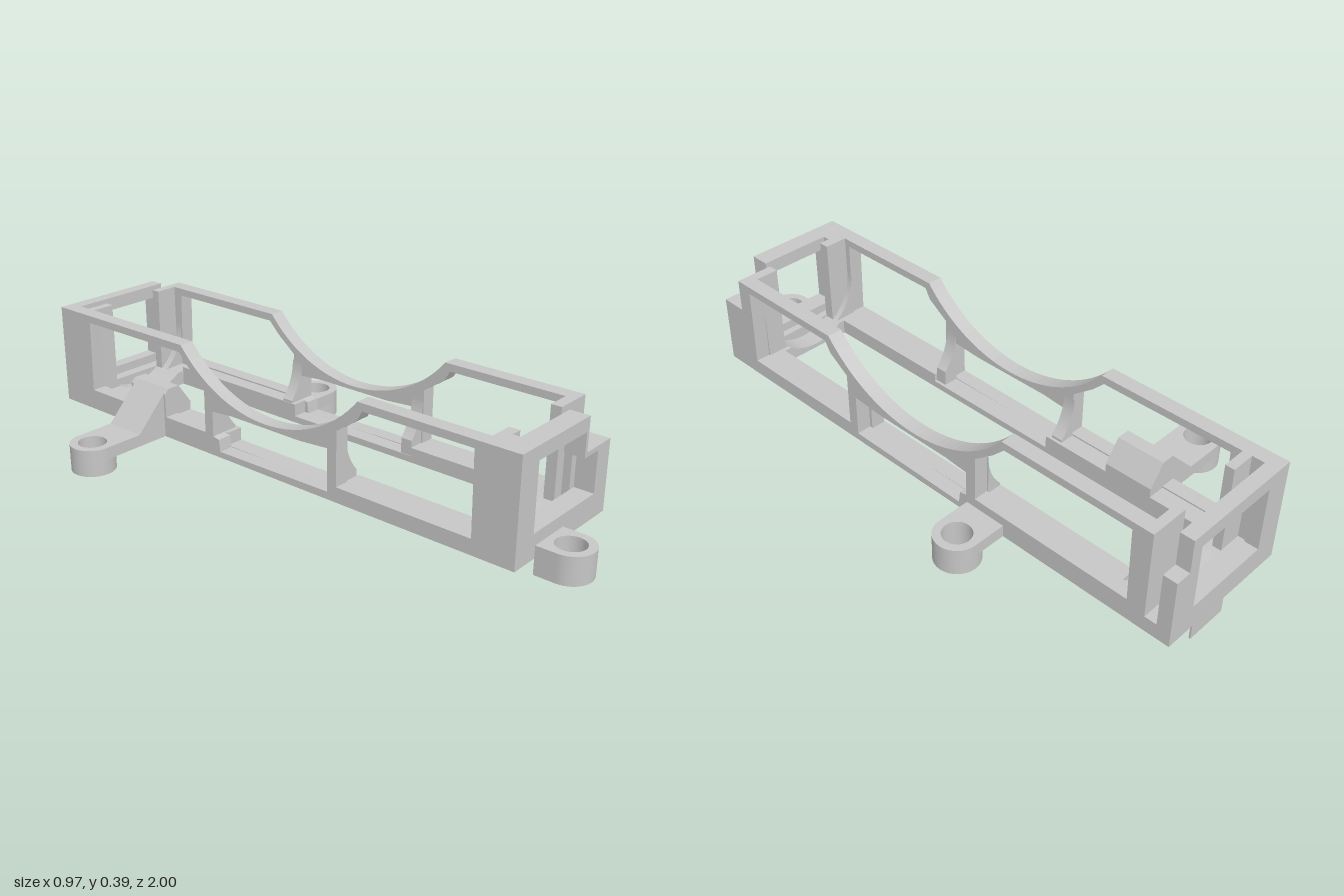
import * as THREE from 'three';

const grey = new THREE.MeshStandardMaterial({ color: 0xc6c6c6 });
grey.name = 'plain grey';

const points = (pts) => pts.map(([a, b]) => new THREE.Vector2(a, b));

function extrude(pts, holes, depth) {
  const outline = points(pts);
  // Counter-clockwise outline, so that hole walls also face the right way
  if (THREE.ShapeUtils.isClockWise(outline)) outline.reverse();
  const shape = new THREE.Shape(outline);
  for (const h of holes) shape.holes.push(new THREE.Path(points(h)));
  return new THREE.ExtrudeGeometry(shape, { depth, bevelEnabled: false });
}

export function createModel() {
  const model = new THREE.Group();
  model.name = 'cradleFrame';

  const add = (name, geo, parent = model) => {
    const mesh = new THREE.Mesh(geo, grey);
    mesh.name = name;
    parent.add(mesh);
  };
  const box = (name, x0, x1, y0, y1, z0, z1) => add(name,
    new THREE.BoxGeometry(x1 - x0, y1 - y0, z1 - z0)
      .translate((x0 + x1) / 2, (y0 + y1) / 2, (z0 + z1) / 2));
  // Profile given as [z, y], extruded along x
  const alongX = (name, pts, holes, x0, x1) => {
    const flip = (list) => list.map(([z, y]) => [-z, y]);
    add(name, extrude(flip(pts), holes.map(flip), x1 - x0).rotateY(Math.PI / 2).translate(x0, 0, 0));
  };
  // Profile given as [x, y], extruded along z
  const alongZ = (name, pts, holes, z0, z1) =>
    add(name, extrude(pts, holes, z1 - z0).translate(0, 0, z0));

  // Frame limits in x: outer and inner wall faces
  const X0 = -0.17, I0 = -0.12, I1 = 0.252, X1 = 0.302;

  // Side walls with a scooped top edge and three windows
  const scoop = [];
  const radius = 0.466, half = Math.asin(0.36 / radius);
  for (let i = 0; i <= 32; i++) {
    const a = half - (2 * half * i) / 32;
    scoop.push([-0.04 + radius * Math.sin(a), 0.686 - radius * Math.cos(a)]);
  }
  const windows = [
    [[0.72, 0.1], [0.715, 0.365], [0.338, 0.365], [0.318, 0.33], [0.245, 0.28], [0.245, 0.1]],
    [[0.21, 0.075], [0.21, 0.215], [0.1, 0.207], [-0.18, 0.207], [-0.265, 0.2], [-0.265, 0.115],
      [-0.24, 0.11], [-0.235, 0.07]],
    [[-0.3, 0.12], [-0.3, 0.27], [-0.37, 0.325], [-0.41, 0.365], [-0.85, 0.365], [-0.855, 0.12]],
  ];
  alongX('rightSideWall', [[0.86, 0.05], [0.86, 0.39], ...scoop, [-1, 0.39], [-1, 0.05]],
    windows, X0, I0);
  alongX('leftSideWall', [[0.86, 0.05], [0.86, 0.28], [0.77, 0.28], [0.77, 0.39], ...scoop,
    [-0.915, 0.39], [-0.915, 0.1], [-0.955, 0.1], [-0.955, 0.28], [-1, 0.28], [-1, 0.05]],
  windows, I1, X1);

  // Floor ledges along the open bottom
  for (const [x0, x1] of [[I0, -0.06], [0.2, I1]]) {
    box('floorLedgeFront', x0, x1, 0.05, 0.1, 0.24, 0.7);
    box('floorLedgeMiddle', x0, x1, 0.05, 0.072, -0.25, 0.24);
    box('floorLedgeBack', x0, x1, 0.05, 0.115, -0.8, -0.25);
  }

  // Round cavity: arc points from the side (angle 0) towards the bottom
  const cavity = (side, a0, a1) => Array.from({ length: 13 }, (_, i) => {
    const a = a0 + ((a1 - a0) * i) / 12;
    return [0.066 + side * 0.186 * Math.cos(a), 0.25 - 0.186 * Math.sin(a)];
  });

  // End floors with a rounded hollow
  const hollow = [[I0, 0.05], [I1, 0.05], [I1, 0.1], ...cavity(1, 0.95, Math.PI - 0.95), [I0, 0.1]];
  alongZ('frontFloor', hollow, [], 0.7, 0.77);
  alongZ('backFloor', hollow, [], -0.915, -0.8);
  box('frontSlotFloor', I0, I1, 0.05, 0.1, 0.77, 0.8);
  box('backSlotFloor', I0, I1, 0.05, 0.1, -0.96, -0.915);

  // End walls with openings and a missing top corner
  const opening = [[-0.085, 0.13], [0.235, 0.13], [0.235, 0.265], [0.16, 0.265], [0.16, 0.345], [-0.085, 0.345]];
  alongZ('frontWall', [[X0, 0.05], [X1, 0.05], [X1, 0.28], [0.172, 0.28], [0.172, 0.39], [X0, 0.39]],
    [opening], 0.795, 0.86);
  alongZ('backWall', [[X0, 0.05], [X1, 0.05], [X1, 0.28], [0.25, 0.28], [0.25, 0.39], [X0, 0.39]],
    [[[-0.085, 0.13], [0.21, 0.13], [0.21, 0.345], [-0.085, 0.345]]], -1, -0.955);
  box('frontSlotEndRight', I0, -0.077, 0.1, 0.39, 0.77, 0.795);
  box('frontSlotEndLeft', 0.21, I1, 0.1, 0.28, 0.77, 0.795);

  // Inner corner posts at each end
  for (const [z0, z1] of [[0.735, 0.77], [-0.915, -0.885]]) {
    box('cornerPostRight', I0, -0.04, 0.09, 0.39, z0, z1);
    box('cornerPostLeft', 0.173, I1, 0.09, 0.39, z0, z1);
  }

  // Curved corner ribs at the ends and beside the middle windows
  const ribs = [['endRib', 0.715, 0.735, 0.95], ['endRib', -0.885, -0.86, 0.95],
    ['gusset', 0.2, 0.24, 0.75], ['gusset', -0.305, -0.265, 0.75]];
  for (const [name, z0, z1, end] of ribs) {
    for (const side of [-1, 1]) {
      const arc = cavity(side, 0, end);
      alongZ(name, [[side < 0 ? I0 : I1, 0.055], ...arc, [arc[12][0], 0.055]], [], z0, z1);
    }
  }

  // Ramp outside the right wall and the wider block inside it
  alongZ('outerRamp', [[-0.28, 0.05], [-0.16, 0.05], [-0.16, 0.21], [-0.28, 0.09]], [], -0.637, -0.493);
  alongZ('innerBlock', [[-0.17, 0.06], [-0.06, 0.06], [-0.06, 0.145], [-0.11, 0.215], [-0.155, 0.215],
    [-0.17, 0.2]], [], -0.65, -0.485);

  // Mounting feet: drilled plate with a rounded end, and a boss under it
  const foot = (name, x, z, turn, length, plateBottom) => {
    const r = 0.072, bore = 0.046;
    const group = new THREE.Group();
    group.name = name;
    const plate = new THREE.Shape().absarc(0, 0, r, Math.PI / 2, Math.PI * 1.5)
      .lineTo(length, -r).lineTo(length, r);
    const boss = new THREE.Shape().absarc(0, 0, r, 0, Math.PI * 2);
    const layer = (part, shape, y0, y1) => {
      shape.holes.push(new THREE.Path().absarc(0, 0, bore, 0, Math.PI * 2, true));
      add(part, new THREE.ExtrudeGeometry(shape, { depth: y1 - y0, bevelEnabled: false, curveSegments: 24 })
        .rotateX(-Math.PI / 2).translate(0, y0, 0), group);
    };
    layer('plate', plate, plateBottom, 0.09);
    if (plateBottom > 0) layer('boss', boss, 0, plateBottom);
    group.position.set(x, 0, z);
    group.rotation.y = turn;
    model.add(group);
  };
  foot('frontFoot', 0, 0.928, Math.PI / 2, 0.068, 0);
  foot('rightFoot', -0.416, -0.565, 0, 0.25, 0.05);
  foot('leftFoot', 0.414, -0.34, Math.PI, 0.114, 0.05);

  // Thin tab below the back wall
  box('backTab', 0.06, 0.2, 0, 0.06, -1, -0.994);

  return model;
}
